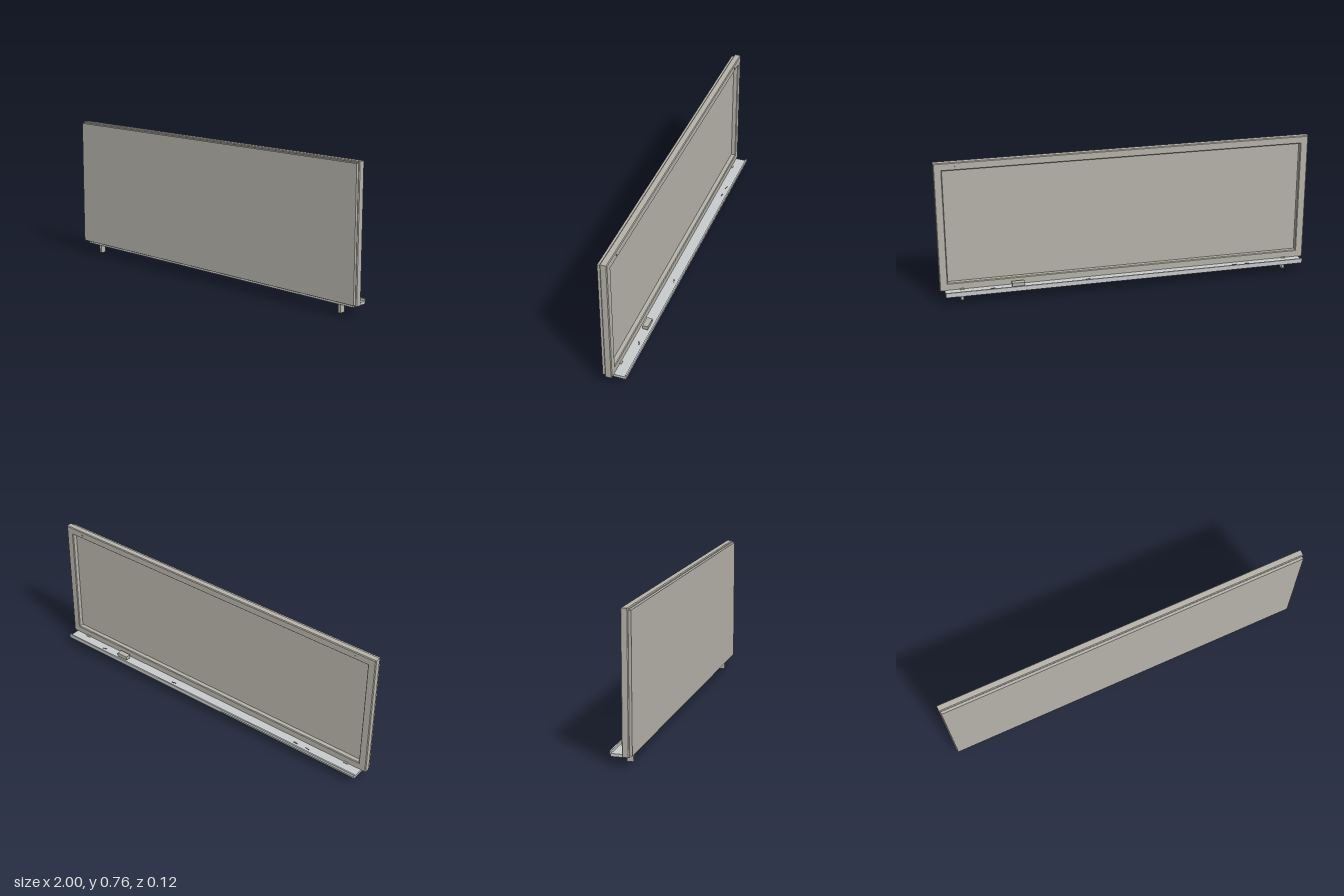
import * as THREE from 'three';

export function createModel() {
  const model = new THREE.Group();
  model.name = 'whiteboard';
  const mat = (name, color) => {
    const m = new THREE.MeshStandardMaterial({ color });
    m.name = name;
    return m;
  };
  const warmGrey = mat('warmGrey', 0xb4b1a8);
  const trayGrey = mat('trayGrey', 0xc6c9c9);
  const penGrey = mat('penGrey', 0x70747a);

  const add = (name, geometry, material, x = 0, y = 0, z = 0) => {
    const mesh = new THREE.Mesh(geometry, material);
    mesh.name = name;
    mesh.position.set(x, y, z);
    model.add(mesh);
    return mesh;
  };
  // Box given by its lower and upper limits on each axis
  const box = (name, material, x0, x1, y0, y1, z0, z1) =>
    add(name, new THREE.BoxGeometry(x1 - x0, y1 - y0, z1 - z0), material,
      (x0 + x1) / 2, (y0 + y1) / 2, (z0 + z1) / 2);
  // Rectangle outline, used for the frame and its opening
  const rect = (path, x, y0, y1) => {
    path.moveTo(-x, y0);
    path.lineTo(x, y0);
    path.lineTo(x, y1);
    path.lineTo(-x, y1);
    path.closePath();
    return path;
  };

  // Chamfered frame, open at the back
  const bevel = 0.004;
  const outline = rect(new THREE.Shape(), 1 - bevel, 0.055 + bevel, 0.757 - bevel);
  outline.holes.push(rect(new THREE.Path(), 0.957 + bevel, 0.098 - bevel, 0.715 + bevel));
  add('frame', new THREE.ExtrudeGeometry(outline, {
    depth: 0.036 - 2 * bevel, bevelEnabled: true, bevelSize: bevel,
    bevelThickness: bevel, bevelSegments: 1,
  }), warmGrey, 0, 0, 0.01 + bevel);

  // Writing surface in front, and the recessed panel behind it
  box('writingBoard', warmGrey, -0.994, 0.994, 0.062, 0.748, 0.045, 0.06);
  box('backPanel', warmGrey, -0.97, 0.97, 0.085, 0.73, 0.036, 0.046);

  // Tray with a raised rear lip
  box('tray', trayGrey, -0.975, 0.975, 0.045, 0.06, -0.053, 0.039);
  box('trayLip', trayGrey, -0.975, 0.975, 0.057, 0.072, -0.058, -0.05);

  // Feet, lower brackets and upper clips
  for (const side of [-1, 1]) {
    const x = side * 0.886;
    box('foot', warmGrey, x - 0.008, x + 0.008, 0, 0.046, 0.001, 0.032);
    box('lowerBracket', warmGrey, x - 0.012, x + 0.012, 0.058, 0.064, 0.001, 0.014);
    box('upperClip', warmGrey, x - 0.004, x + 0.004, 0.732, 0.738, 0.007, 0.012);
  }

  // Eraser: felt pad under a body
  box('eraserPad', penGrey, 0.562, 0.624, 0.06, 0.066, -0.032, -0.005);
  box('eraserBody', warmGrey, 0.56, 0.626, 0.066, 0.083, -0.034, -0.004);

  // Small pens lying on the tray
  const pens = [[-0.67, -0.2], [-0.595, 0], [0.22, 0.25], [0.73, 0.3]];
  for (const [x, turn] of pens) {
    const pen = add('pen', new THREE.CylinderGeometry(0.002, 0.002, 0.024, 8),
      penGrey, x, 0.062, -0.026);
    pen.rotation.set(0, turn, Math.PI / 2);
  }
  return model;
}
